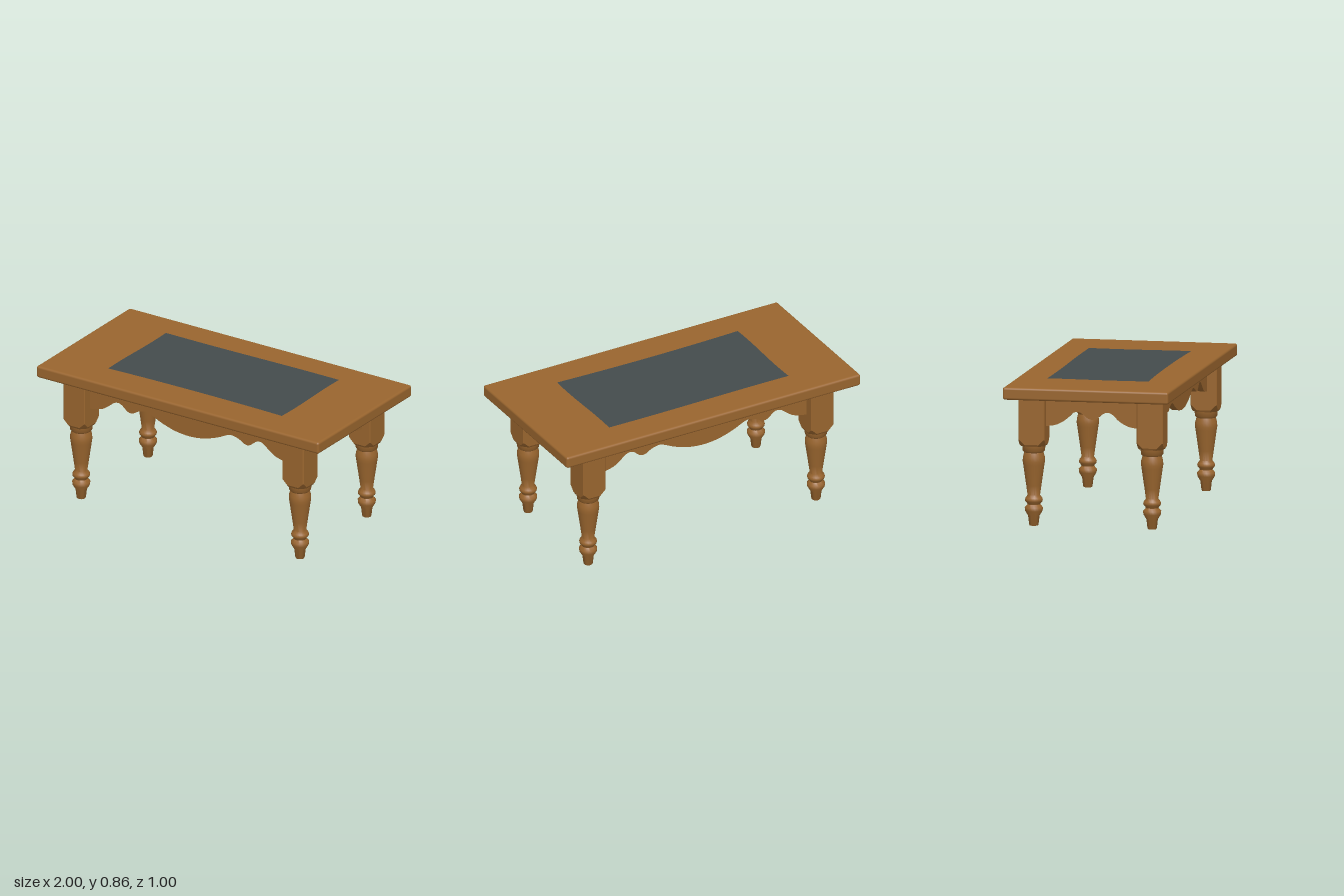
import * as THREE from 'three';
import { toCreasedNormals } from 'three/addons/utils/BufferGeometryUtils.js';
import { RoundedBoxGeometry } from 'three/addons/geometries/RoundedBoxGeometry.js';

const LEG_X = 0.775, LEG_Z = 0.357, UNDER = 0.78;

// Square post with cut corners; rings run from top to bottom as [y, halfX, halfZ, cut]
function postGeometry(rings) {
  const loops = rings.map(([y, a, b, c]) => [
    [a, b - c], [a - c, b], [c - a, b], [-a, b - c],
    [-a, c - b], [c - a, -b], [a - c, -b], [a, c - b],
  ].map(([x, z]) => [x, y, z]));
  const pos = [];
  for (let r = 0; r < loops.length - 1; r++) {
    for (let i = 0; i < 8; i++) {
      const j = (i + 1) % 8;
      const a = loops[r][i], b = loops[r][j], c = loops[r + 1][i], d = loops[r + 1][j];
      pos.push(...a, ...b, ...c, ...b, ...d, ...c);
    }
  }
  const end = loops[loops.length - 1];
  for (let i = 1; i < 7; i++) pos.push(...end[0], ...end[i], ...end[i + 1]);
  const g = new THREE.BufferGeometry();
  g.setAttribute('position', new THREE.Float32BufferAttribute(pos, 3));
  g.computeVertexNormals();
  return g;
}

// Board with a scalloped lower edge; half profile runs from the middle outwards
function apronGeometry(half, thickness) {
  const pts = [
    ...half.slice(1).reverse().map(([x, y]) => new THREE.Vector2(-x, y)),
    ...half.map(([x, y]) => new THREE.Vector2(x, y)),
  ];
  const end = half[half.length - 1][0];
  const shape = new THREE.Shape();
  shape.moveTo(-end, UNDER);
  shape.lineTo(pts[0].x, pts[0].y);
  shape.splineThru(pts.slice(1));
  shape.lineTo(end, UNDER);
  const g = new THREE.ExtrudeGeometry(shape, { depth: thickness, bevelEnabled: false, curveSegments: 3 });
  g.translate(0, 0, -thickness / 2);
  return toCreasedNormals(g, 0.6);
}

export function createModel() {
  const table = new THREE.Group();
  table.name = 'table';
  const wood = new THREE.MeshStandardMaterial({ color: 0x99652e });
  wood.name = 'wood';
  const cloth = new THREE.MeshStandardMaterial({ color: 0x444b4c, side: THREE.DoubleSide });
  cloth.name = 'clothGrey';

  const add = (parent, name, geometry, material) => {
    const mesh = new THREE.Mesh(geometry, material);
    mesh.name = name;
    parent.add(mesh);
    return mesh;
  };

  // Table top with softened edges
  add(table, 'tableTop', new RoundedBoxGeometry(2, 0.074, 1, 2, 0.014), wood).position.y = 0.814;

  // Legs: square block above a turned shaft
  const block = postGeometry([
    [UNDER, 0.076, 0.079, 0.005],
    [0.52, 0.076, 0.079, 0.005],
    [0.49, 0.076, 0.079, 0.036],
    [0.478, 0.07, 0.072, 0.036],
  ]);
  const profile = [
    [0, 0], [0.025, 0], [0.028, 0.006], [0.034, 0.058], [0.052, 0.088], [0.054, 0.108],
    [0.038, 0.126], [0.041, 0.134], [0.051, 0.145], [0.053, 0.155], [0.049, 0.166], [0.037, 0.182],
    [0.045, 0.24], [0.063, 0.365], [0.066, 0.385], [0.065, 0.41], [0.057, 0.438],
    [0.066, 0.448], [0.069, 0.482],
  ].map(([r, y]) => new THREE.Vector2(r, y));
  const shaft = toCreasedNormals(new THREE.LatheGeometry(profile, 24), 0.9);
  for (const [end, sz] of [['front', 1], ['back', -1]]) {
    for (const [side, sx] of [['Left', 1], ['Right', -1]]) {
      const leg = new THREE.Group();
      leg.name = `${end}${side}Leg`;
      leg.position.set(sx * LEG_X, 0, sz * LEG_Z);
      add(leg, 'legBlock', block, wood);
      add(leg, 'turnedShaft', shaft, wood);
      table.add(leg);
    }
  }

  // Scalloped aprons between the legs
  const longApron = apronGeometry([
    [0, 0.6], [0.1, 0.61], [0.2, 0.641], [0.27, 0.674], [0.31, 0.682], [0.36, 0.668], [0.39, 0.65],
    [0.42, 0.645], [0.445, 0.658], [0.475, 0.682], [0.505, 0.69], [0.535, 0.678], [0.57, 0.65],
    [0.61, 0.624], [0.66, 0.61], [0.71, 0.602],
  ], 0.04);
  const shortApron = apronGeometry([
    [0, 0.643], [0.03, 0.652], [0.06, 0.677], [0.09, 0.688], [0.12, 0.678], [0.16, 0.64],
    [0.205, 0.613], [0.25, 0.601], [0.29, 0.599],
  ], 0.04);
  for (const s of [1, -1]) {
    add(table, s > 0 ? 'frontApron' : 'backApron', longApron, wood).position.z = s * LEG_Z;
    const sideApron = add(table, s > 0 ? 'leftApron' : 'rightApron', shortApron, wood);
    sideApron.position.x = s * LEG_X;
    sideApron.rotation.y = Math.PI / 2;
  }

  // Cloth runner with slightly wavy edges
  const sheet = new THREE.PlaneGeometry(1.226, 0.6, 24, 12).rotateX(-Math.PI / 2);
  const p = sheet.attributes.position;
  for (let i = 0; i < p.count; i++) {
    const x = p.getX(i), z = p.getZ(i);
    const front = (z + 0.3) / 0.6;
    const zFront = 0.29 + 0.012 * (x / 0.613) ** 2;
    const zBack = -0.311 - 0.004 * Math.sin(x * 4);
    p.setXYZ(i, x - 0.005 + 0.004 * Math.sin(z * 9) * (x / 0.613),
      0.8555 + 0.001 * Math.cos(x * 5) * Math.cos(z * 6), zBack + (zFront - zBack) * front);
  }
  sheet.computeVertexNormals();
  add(table, 'clothRunner', sheet, cloth);

  return table;
}
